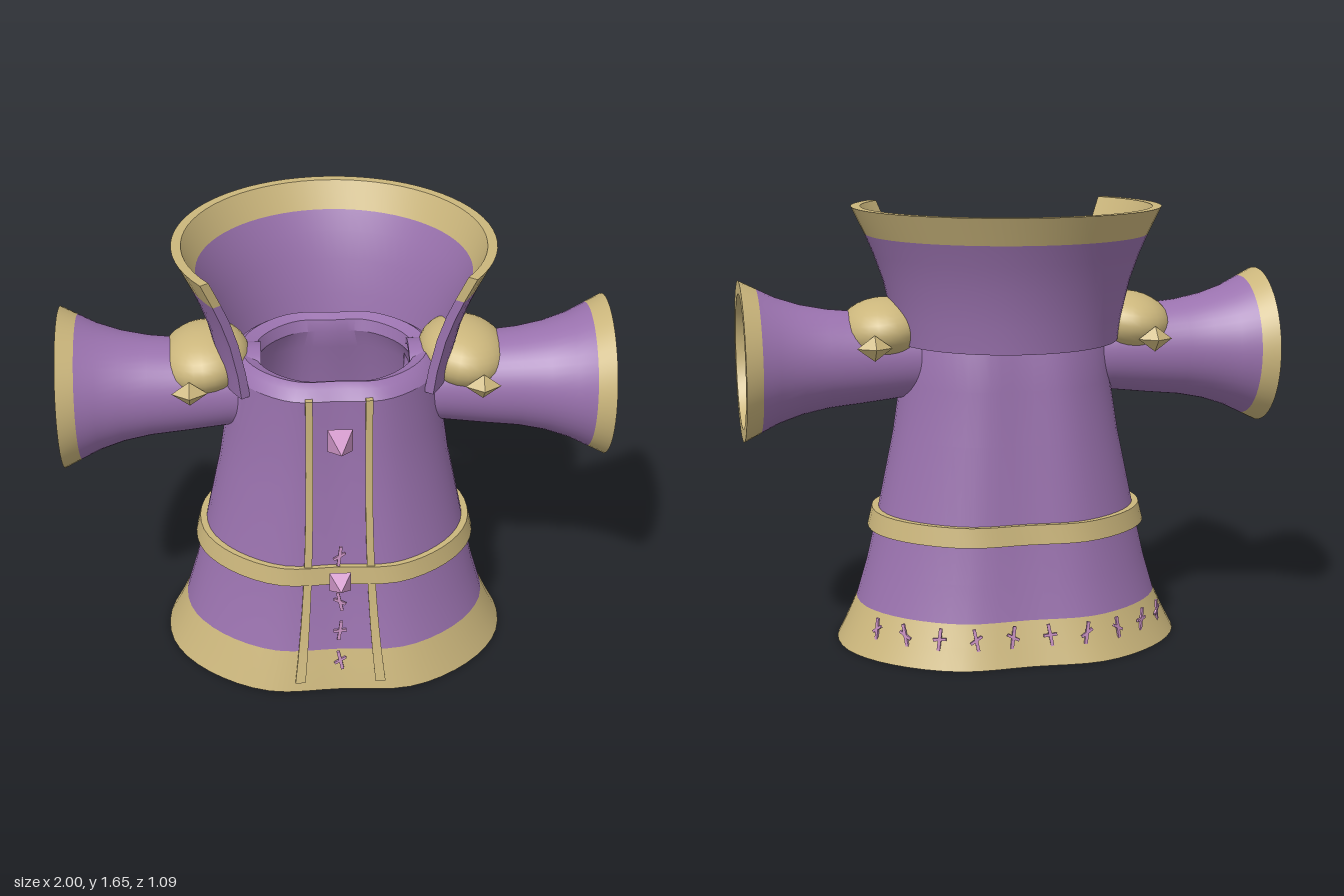
import * as THREE from 'three';
import { toCreasedNormals } from 'three/addons/utils/BufferGeometryUtils.js';

const purple = new THREE.MeshStandardMaterial({ color: 0x9a72ae });
purple.name = 'purple cloth';
const gold = new THREE.MeshStandardMaterial({ color: 0xcbb67c });
gold.name = 'gold trim';
const pink = new THREE.MeshStandardMaterial({ color: 0xcf96c8 });
pink.name = 'pink crystal';

// Plan outline of the robe: a softened octagon, front first, running towards +x
const half = [[0.42, 1], [0.78, 0.72], [1, 0.28], [1, -0.28], [0.78, -0.72], [0.42, -1]];
const outline = new THREE.CatmullRomCurve3(
  [[0, 1], ...half, [0, -1], ...half.map(([x, z]) => [-x, z]).reverse()]
    .map(([x, z]) => new THREE.Vector3(x, 0, z)), true);

// Outer robe sections: y, half width, back z, front z
const robe = [
  [0, 0.64, -0.43, 0.5], [0.08, 0.6, -0.4, 0.48], [0.16, 0.565, -0.372, 0.458],
  [0.3, 0.525, -0.345, 0.43], [0.48, 0.485, -0.322, 0.405], [0.8, 0.42, -0.285, 0.376],
  [1.0, 0.39, -0.265, 0.366], [1.19, 0.375, -0.25, 0.366],
];

function sectionAt(y) {
  let i = 0;
  while (i < robe.length - 2 && y > robe[i + 1][0]) i++;
  const t = (y - robe[i][0]) / (robe[i + 1][0] - robe[i][0]);
  return robe[i].map((v, k) => v + (robe[i + 1][k] - v) * t);
}

function outlinePoint(t, [y, w, back, front]) {
  const p = outline.getPoint(t % 1);
  return new THREE.Vector3(p.x * w, y, (back + front) / 2 + p.z * (front - back) / 2);
}

// Skin a list of sections; outside faces run upwards
function loft(sections, n = 56) {
  const pos = [], index = [];
  sections.forEach((s, r) => {
    for (let i = 0; i < n; i++) {
      pos.push(...outlinePoint(i / n, s).toArray());
      if (r === 0) continue;
      const a = (r - 1) * n + i, b = (r - 1) * n + (i + 1) % n;
      index.push(a, b, a + n, b, b + n, a + n);
    }
  });
  const g = new THREE.BufferGeometry();
  g.setAttribute('position', new THREE.Float32BufferAttribute(pos, 3));
  g.setIndex(index);
  return toCreasedNormals(g, 0.55);
}

const vec2 = (list) => list.map(([r, y]) => new THREE.Vector2(r, y));
function lathe(profile, start = 0, length = Math.PI * 2) {
  return toCreasedNormals(new THREE.LatheGeometry(vec2(profile), 48, start, length), 0.55);
}

export function createModel() {
  const model = new THREE.Group();
  model.name = 'robe';
  const add = (name, geometry, material, parent = model) => {
    const m = new THREE.Mesh(geometry, material);
    m.name = name;
    parent.add(m);
    return m;
  };

  // Hollow robe with a rolled neck rim, and its gold hem
  const inside16 = [0.16, 0.54, -0.347, 0.433];
  add('robeBody', loft([
    ...robe.slice(2), [1.225, 0.355, -0.24, 0.34], [1.24, 0.33, -0.22, 0.31],
    [1.225, 0.285, -0.185, 0.28], [1.18, 0.275, -0.175, 0.275], [1.1, 0.32, -0.2, 0.31],
    [0.8, 0.39, -0.255, 0.346], [0.48, 0.455, -0.292, 0.375], inside16,
  ]), purple);
  add('hem', loft([inside16, [0, 0.605, -0.395, 0.465], ...robe.slice(0, 3)]), gold);

  // Belt
  add('belt', loft([
    [0.44, 0.475, -0.31, 0.39], [0.44, 0.52, -0.347, 0.428],
    [0.512, 0.503, -0.337, 0.42], [0.512, 0.46, -0.3, 0.385],
  ]), gold);

  // Front strips that follow the robe
  for (const side of [-1, 1]) {
    const g = new THREE.BoxGeometry(1, 1.16, 0.03, 1, 16, 1);
    const p = g.attributes.position;
    for (let i = 0; i < p.count; i++) {
      const y = p.getY(i) + 0.62, k = ((1.2 - y) / 1.16) ** 3;
      p.setXYZ(i, side * (0.107 + 0.045 * k) + p.getX(i) * (0.026 + 0.012 * k), y,
        sectionAt(y)[3] + p.getZ(i) + 0.004);
    }
    add('frontStrip', toCreasedNormals(g.toNonIndexed(), 0.55), gold);
  }

  // Flared collar, open at the front
  const collar = new THREE.Group();
  collar.name = 'collar';
  collar.position.z = 0.03;
  model.add(collar);
  const start = 0.95, sweep = Math.PI * 2 - 2 * start;
  const collarParts = [
    ['collarCloth', purple, [[0.385, 1.155], [0.422, 1.155], [0.435, 1.25], [0.465, 1.38],
      [0.5, 1.48], [0.532, 1.555], [0.497, 1.555], [0.464, 1.48], [0.43, 1.38], [0.4, 1.25], [0.385, 1.155]]],
    ['collarTrim', gold, [[0.497, 1.555], [0.532, 1.555], [0.58, 1.655], [0.545, 1.655], [0.497, 1.555]]],
  ];
  for (const [name, material, profile] of collarParts) {
    add(name, lathe(profile, start, sweep), material, collar);
    // End faces of the opening
    const face = (s) => new THREE.ShapeGeometry(
      new THREE.Shape(vec2(profile.slice(0, -1).map(([r, y]) => [r * s, y]))));
    add(name + 'End', face(1).rotateY(start - Math.PI / 2), material, collar);
    add(name + 'End', face(-1).rotateY(start + sweep + Math.PI / 2), material, collar);
  }

  for (const side of [-1, 1]) {
    // Trumpet sleeve, hollow, with a gold cuff
    const sleeve = new THREE.Group();
    sleeve.name = side > 0 ? 'leftSleeve' : 'rightSleeve';
    sleeve.position.set(0, 1.095, 0.045);
    sleeve.rotation.z = -side * Math.PI / 2;
    model.add(sleeve);
    add('sleeveCloth', lathe([
      [0.13, 0.27], [0.15, 0.27], [0.155, 0.4], [0.172, 0.55], [0.185, 0.68], [0.205, 0.78],
      [0.235, 0.87], [0.268, 0.937], [0.235, 0.937], [0.205, 0.87], [0.18, 0.78],
      [0.165, 0.68], [0.15, 0.55], [0.135, 0.4], [0.13, 0.27],
    ]), purple, sleeve);
    add('cuff', lathe([[0.235, 0.937], [0.268, 0.937], [0.299, 1], [0.25, 1], [0.235, 0.937]]), gold, sleeve);

    // Shoulder pad with a faceted stud at front and back
    const pad = add('shoulderPad', new THREE.SphereGeometry(1, 28, 18), gold);
    pad.scale.set(0.165, 0.115, 0.2);
    pad.position.set(side * 0.475, 1.205, 0.035);
    pad.rotation.z = -side * 0.12;
    for (const z of [-0.165, 0.235]) {
      const stud = add('shoulderStud', new THREE.OctahedronGeometry(1), gold);
      stud.scale.set(0.065, 0.048, 0.045);
      stud.position.set(side * 0.53, 1.16, z);
    }
  }

  // Floating crystals: square double pyramids pointing forward
  for (const [y, back, mid, front, r] of [[1.07, 0.375, 0.435, 0.54, 0.045], [0.477, 0.41, 0.465, 0.535, 0.04]]) {
    const crystal = new THREE.Group();
    crystal.name = 'crystal';
    crystal.position.set(0, y, mid);
    model.add(crystal);
    const cone = (h) => new THREE.ConeGeometry(r * Math.SQRT2, h, 4, 1, true)
      .rotateY(Math.PI / 4).translate(0, h / 2, 0).toNonIndexed();
    for (const [h, turn] of [[front - mid, 1], [mid - back, -1]]) {
      const g = cone(h).rotateX(turn * Math.PI / 2);
      g.computeVertexNormals();
      add('crystalHalf', g, pink, crystal);
    }
  }

  // Small ornaments made of crossed sticks
  const ornament = (position, i) => {
    const o = new THREE.Group();
    o.name = 'stickOrnament';
    o.position.copy(position);
    model.add(o);
    add('stick', new THREE.BoxGeometry(0.012, 0.085, 0.008), pink, o).rotation.z = i % 2 ? 0.2 : -0.12;
    add('crossStick', new THREE.BoxGeometry(0.05, 0.01, 0.008), pink, o).rotation.z = [0.6, -0.5, 0.1][i % 3];
    return o;
  };
  // Column down the front
  [0.56, 0.37, 0.25, 0.13].forEach((y, i) =>
    ornament(new THREE.Vector3(0, y, sectionAt(y)[3] + 0.022), i));
  // Row around the back of the hem
  const [, w, back, front] = sectionAt(0.11);
  const hemLine = [0.11, w + 0.015, back - 0.015, front + 0.015];
  for (let i = 0; i < 10; i++) {
    const t = 0.325 + 0.35 * i / 9;
    const p = outlinePoint(t, hemLine);
    const d = outlinePoint(t + 0.01, hemLine).sub(outlinePoint(t - 0.01, hemLine));
    ornament(p, i).rotation.y = Math.atan2(-d.z, d.x);
  }
  return model;
}
